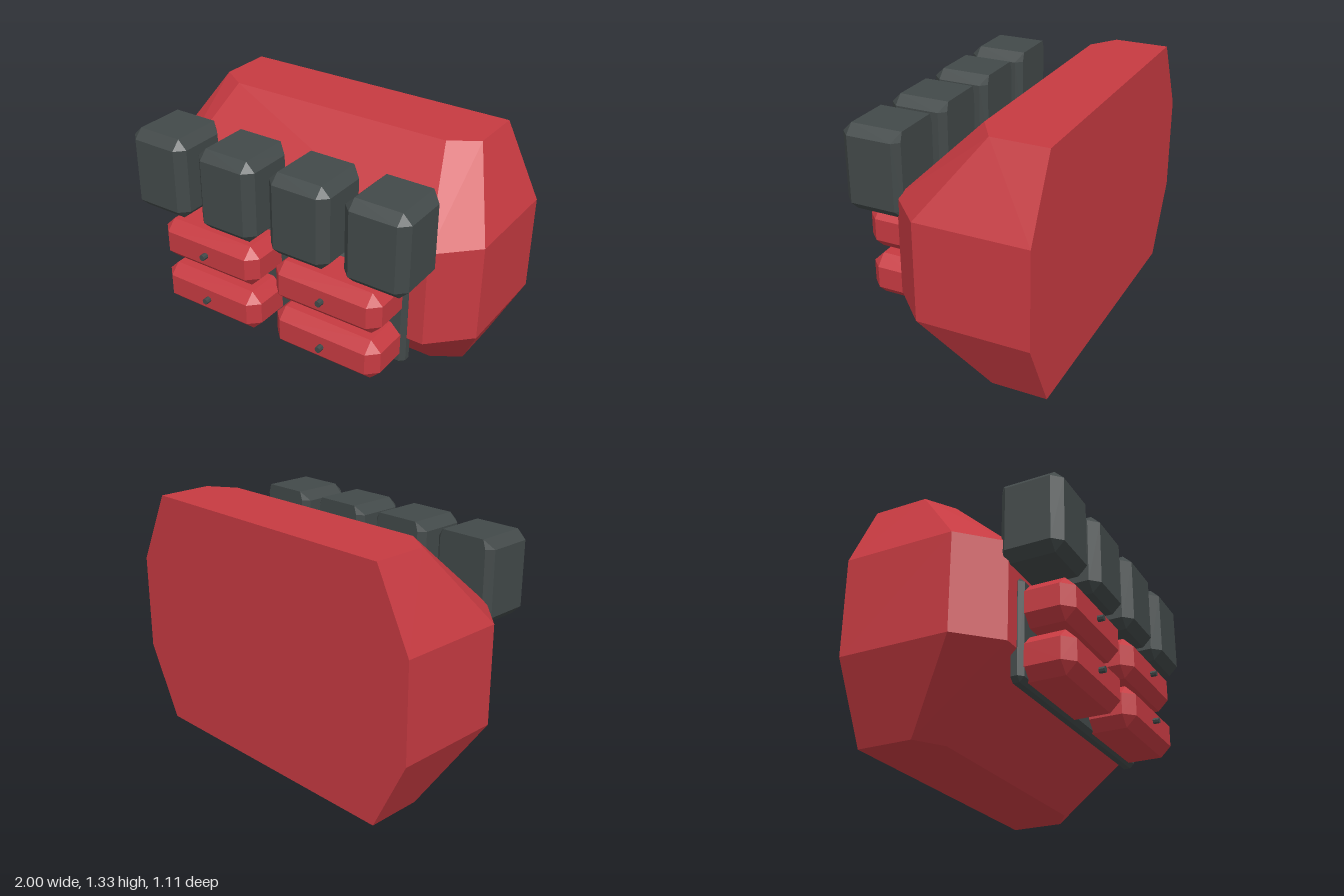
import * as THREE from 'three';
import { ConvexGeometry } from 'three/addons/geometries/ConvexGeometry.js';

const SIGNS = [-1, 1];

// Box with a chamfered front and sides; the back keeps only a small bevel b in x
function chamferBox(w, h, d, c, b = 0) {
  const X = w / 2, Y = h / 2, Z = d / 2, pts = [];
  const add = (x, y, z) => pts.push(new THREE.Vector3(x, y, z));
  for (const sx of SIGNS) for (const sy of SIGNS) {
    add(sx * X, sy * (Y - c), Z - c);
    add(sx * (X - c), sy * Y, Z - c);
    add(sx * (X - c), sy * (Y - c), Z);
    add(sx * X, sy * (Y - c), -Z + b);
    add(sx * (X - c), sy * Y, -Z);
    add(sx * (X - b), sy * (Y - c), -Z);
  }
  return new ConvexGeometry(pts);
}

// Faceted main shell, mirrored left to right and top to bottom
function shellGeometry() {
  const midY = 0.666, pts = [];
  const corner = [
    [0.8, 0.666, -0.55], [0.8, 0.666, -0.25], [0.65, 0.666, -0.15],
    [1, 0.266, -0.55], [1, 0.266, 0.05], [0.8, 0.266, 0.25],
  ];
  for (const sx of SIGNS) for (const sy of SIGNS)
    for (const [x, y, z] of corner) pts.push(new THREE.Vector3(sx * x, midY + sy * y, z));
  return new ConvexGeometry(pts);
}

export function createModel() {
  const group = new THREE.Group();
  const red = new THREE.MeshStandardMaterial({ color: 0xc63a41 });
  red.name = 'red';
  const charcoal = new THREE.MeshStandardMaterial({ color: 0x424949 });
  charcoal.name = 'charcoal';

  const add = (name, geometry, material, x, y, z) => {
    const mesh = new THREE.Mesh(geometry, material);
    mesh.name = name;
    mesh.position.set(x, y, z);
    group.add(mesh);
  };

  add('shell', shellGeometry(), red, 0, 0, 0);
  add('backPanel', chamferBox(1.42, 0.55, 0.06, 0.025), charcoal, 0, 0.511, 0.248);

  // Row of four upper blocks
  const block = chamferBox(0.356, 0.455, 0.33, 0.05, 0.035);
  for (const x of [-0.66, -0.222, 0.222, 0.66]) add('upperBlock', block, charcoal, x, 1.04, 0.375);

  // Two by two drawers, each with a knob
  const drawer = chamferBox(0.635, 0.235, 0.265, 0.058);
  const knob = new THREE.CylinderGeometry(0.017, 0.017, 0.05, 8).toNonIndexed();
  knob.rotateX(Math.PI / 2);
  knob.computeVertexNormals();
  for (const x of [-0.37, 0.37]) for (const y of [0.368, 0.648]) {
    add('drawer', drawer, red, x, y, 0.39);
    add('knob', knob, charcoal, x, y, 0.53);
  }
  return group;
}
